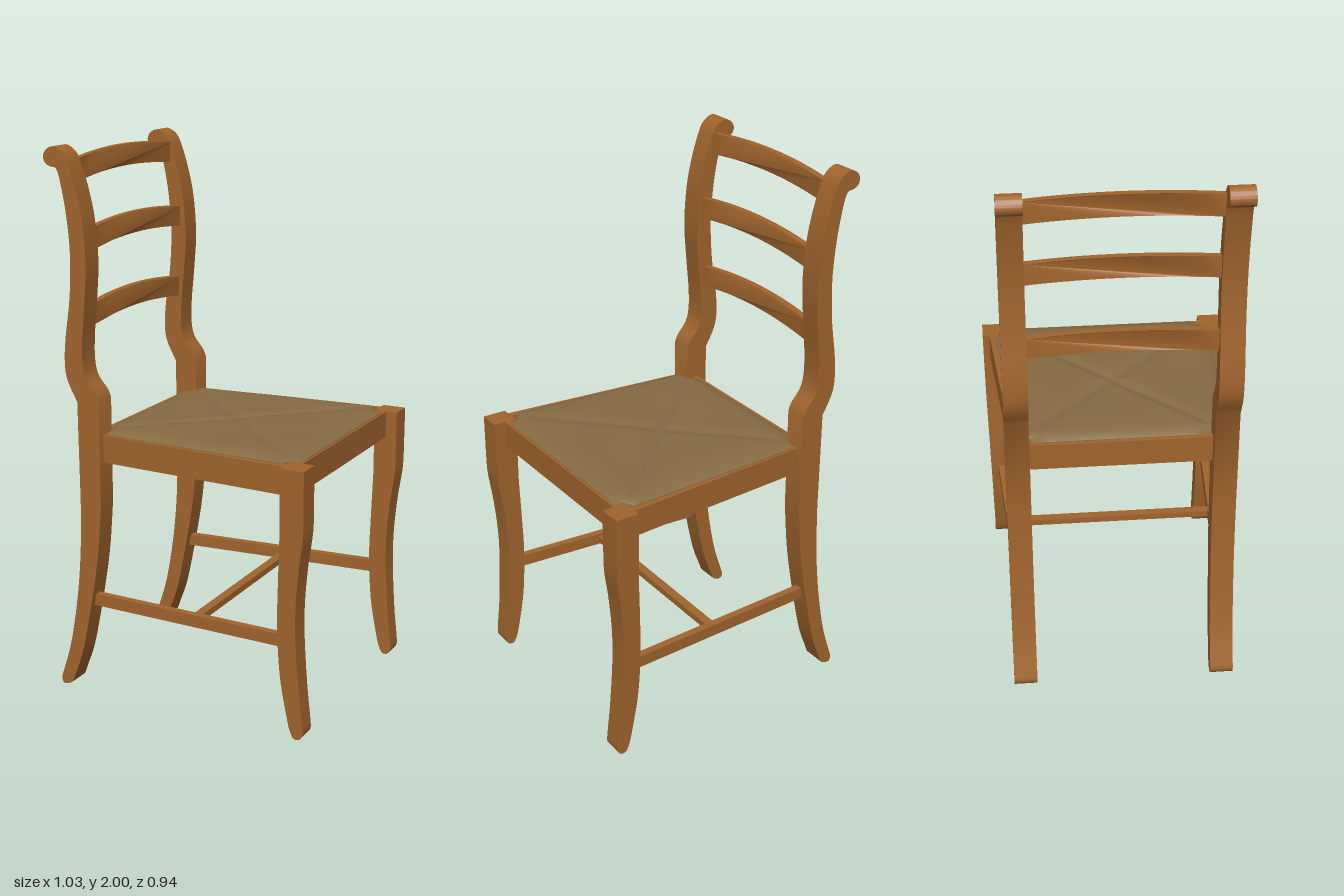
import * as THREE from 'three';
import { toCreasedNormals } from 'three/addons/utils/BufferGeometryUtils.js';

const wood = new THREE.MeshStandardMaterial({ color: 0xa0642d });
wood.name = 'warm wood';
const rush = new THREE.MeshStandardMaterial({ color: 0x866b43 });
rush.name = 'woven rush';

const vec = (pts) => pts.map(([x, y]) => new THREE.Vector2(x, y));

function add(parent, name, geometry, material = wood) {
  const mesh = new THREE.Mesh(geometry, material);
  mesh.name = name;
  parent.add(mesh);
  return mesh;
}

// Moves every vertex by a rule.
function warp(geometry, rule) {
  const p = geometry.attributes.position;
  const v = new THREE.Vector3();
  for (let i = 0; i < p.count; i++) {
    v.fromBufferAttribute(p, i);
    rule(v);
    p.setXYZ(i, v.x, v.y, v.z);
  }
  geometry.computeVertexNormals();
  return geometry;
}

// Side outline of a leg: straight points and smooth runs, extruded along z.
function outline(runs) {
  const s = new THREE.Shape();
  s.moveTo(...runs[0][0]);
  for (const run of runs) {
    const rest = vec(run.slice(1));
    if (run.length > 2) s.splineThru(rest);
    else rest.forEach((p) => s.lineTo(p.x, p.y));
  }
  return s;
}

function slab(shape, z0, z1) {
  const g = new THREE.ExtrudeGeometry(shape, { depth: z1 - z0, bevelEnabled: false, curveSegments: 5 });
  return g.translate(0, 0, z0);
}

// Bar between two points, with a height and a thickness.
function bar(parent, name, a, b, height, thick) {
  const A = new THREE.Vector3(...a), B = new THREE.Vector3(...b);
  const mesh = add(parent, name, new THREE.BoxGeometry(thick, height, A.distanceTo(B)));
  mesh.position.copy(A).add(B).multiplyScalar(0.5);
  mesh.lookAt(B);
  return mesh;
}

const backLegShape = outline([
  [[-0.47, 0], [-0.45, 0.012], [-0.435, 0.05], [-0.4, 0.15], [-0.358, 0.35], [-0.328, 0.53], [-0.311, 0.72]],
  [[-0.311, 0.72], [-0.311, 1.11]],
  [[-0.311, 1.11], [-0.325, 1.14], [-0.36, 1.185], [-0.374, 1.24], [-0.373, 1.33], [-0.36, 1.47], [-0.352, 1.6],
    [-0.362, 1.74], [-0.385, 1.85], [-0.418, 1.95], [-0.442, 1.985], [-0.475, 2], [-0.503, 1.988], [-0.515, 1.965],
    [-0.507, 1.942], [-0.485, 1.931], [-0.464, 1.925], [-0.448, 1.88], [-0.426, 1.76], [-0.415, 1.62],
    [-0.422, 1.47], [-0.442, 1.33], [-0.448, 1.24], [-0.438, 1.175], [-0.4, 1.1]],
  [[-0.4, 1.1], [-0.396, 0.72]],
  [[-0.396, 0.72], [-0.402, 0.53], [-0.42, 0.35], [-0.452, 0.17], [-0.49, 0.045], [-0.497, 0.02], [-0.49, 0], [-0.47, 0]],
]);

const frontLegShape = outline([
  [[0.5, 0], [0.512, 0.02], [0.51, 0.06], [0.497, 0.18], [0.485, 0.35], [0.484, 0.48], [0.495, 0.62], [0.511, 0.74], [0.513, 0.82]],
  [[0.513, 0.82], [0.513, 0.98]],
  [[0.513, 0.98], [0.424, 0.98]],
  [[0.424, 0.98], [0.424, 0.72]],
  [[0.424, 0.72], [0.418, 0.55], [0.415, 0.4], [0.426, 0.22], [0.453, 0.07], [0.467, 0.02], [0.48, 0], [0.5, 0]],
]);

function slatGeometry(x, end, rise, height) {
  const s = new THREE.Shape();
  const w = 0.335;
  s.moveTo(-w, end);
  s.quadraticCurveTo(0, end + rise * 2, w, end);
  s.lineTo(w, end + height);
  s.quadraticCurveTo(0, end + height + rise * 2, -w, end + height);
  const g = new THREE.ExtrudeGeometry(s, { depth: 0.024, bevelEnabled: false, curveSegments: 16 });
  g.translate(0, 0, -0.012).rotateY(Math.PI / 2).translate(x, 0, 0);
  warp(g, (v) => { v.x -= 0.01 * (1 - (v.z / w) ** 2); });
  return toCreasedNormals(g, 0.6);
}

// Cushion: a closed box grid shaped to the trapezoid with notches for the legs.
function seatGeometry() {
  const g = new THREE.BoxGeometry(2, 2, 2, 48, 1, 48);
  warp(g, (v) => {
    const u = v.x, w = v.z, top = v.y > 0;
    const x = 0.058 + 0.404 * u - 0.025 * (1 - u * u);
    let half = 0.4 + 0.025 * u;
    if (x > 0.418) half = 0.38;
    if (x < -0.312) half = 0.322;
    const edge = Math.max(Math.abs(u), Math.abs(w));
    const gap = Math.abs(u) - Math.abs(w);
    const crease = Math.exp(-gap * gap / 0.004) * (1 - 0.5 * edge);
    const ripple = 0.0025 * Math.sin(5 * u + 2 * w) * Math.cos(4 * w - u);
    const puff = ripple * (1 - edge ** 4) - 0.012 * crease - 0.018 * edge ** 14;
    v.set(x, top ? 1.001 + puff : 0.945 - puff + 0.012 * (1 - edge), w * half);
  });
  return toCreasedNormals(g, 0.9);
}

export function createModel() {
  const chair = new THREE.Group();
  chair.name = 'chair';

  for (const s of [1, -1]) {
    const side = s > 0 ? 'left' : 'right';

    // Back leg flowing up into the scrolled back post
    const back = s > 0 ? [0.325, 0.411] : [-0.411, -0.325];
    add(chair, side + 'BackPost', toCreasedNormals(slab(backLegShape, ...back), 0.5));

    // Front leg, tapering slightly on the outside
    const front = s > 0 ? [0.383, 0.471] : [-0.471, -0.383];
    const leg = warp(slab(frontLegShape, ...front), (v) => {
      if (Math.abs(v.z) > 0.43) v.z -= s * 0.016 * Math.min(1, Math.max(0, (0.85 - v.y) / 0.7));
    });
    add(chair, side + 'FrontLeg', toCreasedNormals(leg, 0.5));

    // Seat rail and stretcher on each side
    bar(chair, side + 'SeatRail', [-0.33, 0.93, s * 0.371], [0.44, 0.93, s * 0.433], 0.1, 0.026);
    bar(chair, side + 'Stretcher', [-0.375, 0.347, s * 0.37], [0.44, 0.347, s * 0.418], 0.045, 0.028);
  }

  // Front and back seat rails, cross stretcher
  bar(chair, 'frontSeatRail', [0.457, 0.93, -0.39], [0.457, 0.93, 0.39], 0.1, 0.026);
  bar(chair, 'backSeatRail', [-0.348, 0.93, -0.33], [-0.348, 0.93, 0.33], 0.1, 0.026);
  bar(chair, 'crossStretcher', [0.06, 0.347, -0.39], [0.06, 0.347, 0.39], 0.024, 0.034);

  // Three arched back slats: x, end height, rise, depth
  const slats = [[-0.43, 1.877, 0.02, 0.078], [-0.387, 1.635, 0.02, 0.077], [-0.395, 1.36, 0.022, 0.077]];
  slats.forEach((p, i) => add(chair, 'backSlat' + (i + 1), slatGeometry(...p)));

  add(chair, 'rushSeat', seatGeometry(), rush);
  return chair;
}
